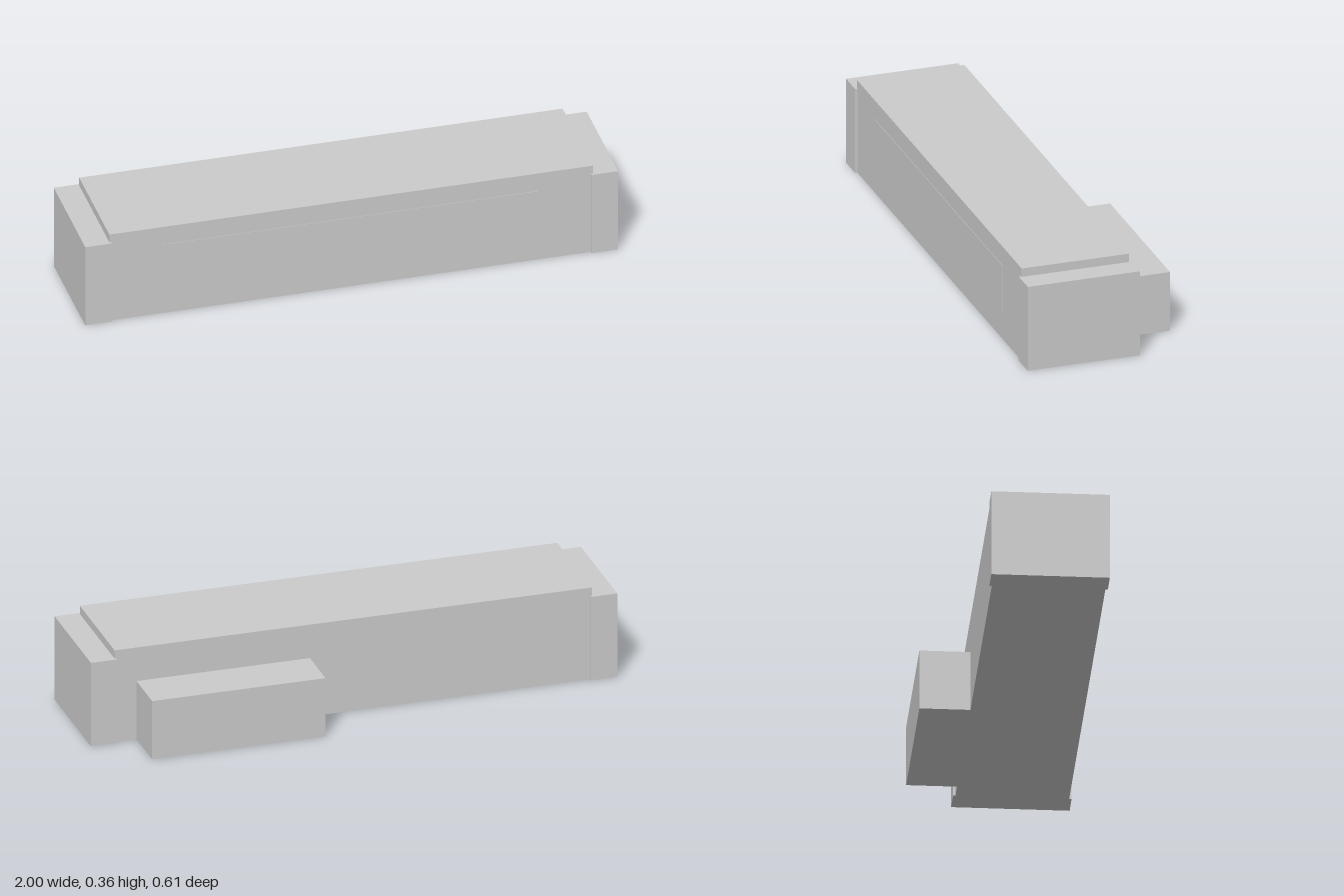
import * as THREE from 'three';

const material = new THREE.MeshStandardMaterial({ color: 0xcccccc, flatShading: true });

// Box given by its [min, max] extent on each axis
function block(name, [x0, x1], [y0, y1], [z0, z1]) {
  const mesh = new THREE.Mesh(new THREE.BoxGeometry(x1 - x0, y1 - y0, z1 - z0), material);
  mesh.name = name;
  mesh.position.set((x0 + x1) / 2, (y0 + y1) / 2, (z0 + z1) / 2);
  return mesh;
}

export function createModel() {
  const group = new THREE.Group();
  group.name = 'longBuilding';

  // Main long hall
  group.add(block('mainHall', [-0.907, 0.907], [0, 0.364], [-0.118, 0.294]));

  // Lower, slightly deeper end blocks
  group.add(block('leftEnd', [0.9, 1], [0, 0.331], [-0.127, 0.303]));
  group.add(block('rightEnd', [-1, -0.9], [0, 0.331], [-0.127, 0.303]));

  // Low annex behind the hall
  group.add(block('rearAnnex', [0.165, 0.824], [0, 0.231], [-0.303, -0.118]));

  // Barely raised panel on the front wall
  group.add(block('frontPanel', [-0.71, 0.7], [0.105, 0.29], [0.28, 0.2955]));

  return group;
}
